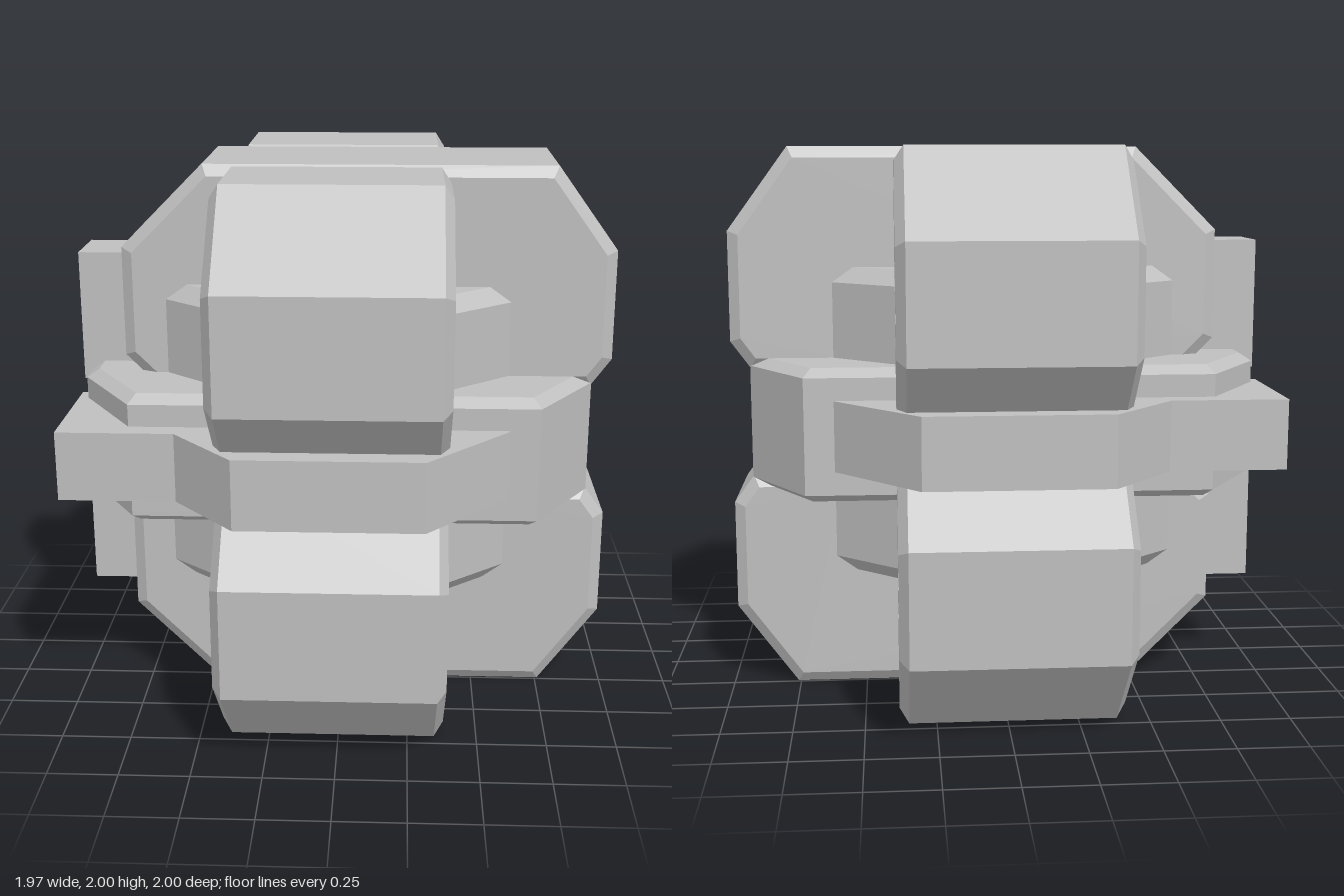
import * as THREE from 'three';

const grey = new THREE.MeshStandardMaterial({ color: 0xbfbfbf });
grey.name = 'plain grey';

const area = (p) => THREE.ShapeUtils.area(p.map(([u, v]) => new THREE.Vector2(u, v)));

// Shrinks a counter-clockwise outline by d, with mitred corners.
function inset(poly, d) {
  const n = poly.length;
  const normal = (a, b) => {
    const l = Math.hypot(b[0] - a[0], b[1] - a[1]);
    return [-(b[1] - a[1]) / l, (b[0] - a[0]) / l];
  };
  return poly.map((p, i) => {
    const a = normal(poly[(i + n - 1) % n], p);
    const b = normal(p, poly[(i + 1) % n]);
    const k = d / (1 + a[0] * b[0] + a[1] * b[1]);
    return [p[0] + (a[0] + b[0]) * k, p[1] + (a[1] + b[1]) * k];
  });
}

// Outline coordinates per axis: x -> [y, z], y -> [z, x], z -> [x, y].
const place = {
  x: (u, v, w) => [w, u, v],
  y: (u, v, w) => [v, w, u],
  z: (u, v, w) => [u, v, w],
};

// Faceted prism along an axis; levels are [position, inset]. "inward" makes a pocket.
function prism(axis, outline, levels, { holes = [], caps = [true, true], inward = false } = {}) {
  const base = area(outline) < 0 ? [...outline].reverse() : outline;
  const rings = levels.map(([w, d]) => inset(base, d).map(([u, v]) => [u, v, w]));
  const pos = [];
  const tri = (a, b, c) => {
    for (const p of inward ? [a, c, b] : [a, b, c]) pos.push(...place[axis](...p));
  };
  for (let k = 0; k + 1 < rings.length; k++) {
    const lo = rings[k], hi = rings[k + 1];
    lo.forEach((a, i) => {
      const j = (i + 1) % lo.length;
      tri(a, lo[j], hi[j]);
      tri(a, hi[j], hi[i]);
    });
  }
  const cap = (ring, up) => {
    const w = ring[0][2];
    const vec = (list) => list.map(([u, v]) => new THREE.Vector2(u, v));
    const faces = THREE.ShapeUtils.triangulateShape(vec(ring), holes.map(vec));
    const pts = [...ring, ...holes.flat().map(([u, v]) => [u, v, w])];
    for (const f of faces) {
      const t = f.map((i) => pts[i]);
      if ((area(t) > 0) !== up) t.reverse();
      tri(...t);
    }
  };
  if (caps[0]) cap(rings[0], false);
  if (caps[1]) cap(rings[rings.length - 1], true);
  const g = new THREE.BufferGeometry();
  g.setAttribute('position', new THREE.Float32BufferAttribute(pos, 3));
  g.computeVertexNormals();
  return g;
}

function rect(u0, u1, v0, v1) {
  return [[u0, v0], [u1, v0], [u1, v1], [u0, v1]];
}

function roundedRect(cu, cv, hu, hv, r) {
  const pts = [];
  [[1, 1], [-1, 1], [-1, -1], [1, -1]].forEach(([su, sv], q) => {
    for (let i = 0; i <= 4; i++) {
      const a = (q + i / 4) * Math.PI / 2;
      pts.push([cu + su * (hu - r) + r * Math.cos(a), cv + sv * (hv - r) + r * Math.sin(a)]);
    }
  });
  return pts;
}

export function createModel() {
  const model = new THREE.Group();
  model.name = 'interlockingBlocks';
  const add = (parent, name, geometry) => {
    const m = new THREE.Mesh(geometry, grey);
    m.name = name;
    parent.add(m);
  };

  // Four octagonal lobes, front and back, with a rounded slot in each end
  for (const top of [true, false]) {
    for (const s of [1, -1]) {
      const lobe = new THREE.Group();
      lobe.name = (top ? 'upper' : 'lower') + (s > 0 ? 'Front' : 'Back') + 'Lobe';
      const cy = top ? 1.5 : 0.5;
      const outline = [[0.5, 0.2], [0.2, 0.5], [-0.2, 0.5], [-0.5, 0.2],
        [-0.5, -0.2], [-0.2, -0.5], [0.2, -0.5], [0.5, -0.2]].map(([y, z]) => [cy + y, s * 0.5 + z]);
      const slot = roundedRect(cy - 0.01, s * 0.665, 0.085, 0.165, 0.05);
      add(lobe, 'body', prism('x', outline,
        [[-0.42, 0.05], [-0.387, 0], [0.347, 0], [0.38, 0.05]], { holes: [slot] }));
      add(lobe, 'leftSlot', prism('x', slot, [[0.18, 0], [0.38, 0]], { caps: [true, false], inward: true }));
      add(lobe, 'rightSlot', prism('x', slot, [[-0.42, 0], [-0.22, 0]], { caps: [false, true], inward: true }));
      model.add(lobe);
    }
  }

  // Upper and lower centre slabs, cut back around the side opening
  const slab = [[-0.8, 1.3], [-0.5, 1], [0.62, 1], [0.62, 1.2], [0.907, 1.2],
    [0.98, 1.3], [0.98, 1.7], [0.76, 2], [-0.5, 2], [-0.8, 1.7]];
  const slabLevels = [[-0.268, 0.04], [-0.24, 0], [0.24, 0], [0.268, 0.04]];
  add(model, 'upperSlab', prism('z', slab, slabLevels));
  add(model, 'lowerSlab', prism('z', slab.map(([x, y]) => [x, 2 - y]), slabLevels));

  // Bevelled inner core
  const core = [[0.26, 0.615], [0.48, 0.36], [0.48, -0.39], [0.26, -0.65],
    [-0.26, -0.65], [-0.48, -0.39], [-0.48, 0.36], [-0.26, 0.615]];
  add(model, 'core', prism('y', core, [[0.44, 0.05], [0.495, 0], [1.515, 0], [1.57, 0.05]]));

  // Middle block: notched layer between two bevelled plates
  const block = [[0.24, 0.91], [0.575, 0.7], [0.575, -0.74], [0.24, -0.95],
    [-0.24, -0.95], [-0.575, -0.74], [-0.575, 0.7], [-0.24, 0.91]];
  const notch = [[-0.218, 0.91], [-0.218, 0.63], [0.218, 0.63], [0.218, 0.91]];
  add(model, 'middleBlock', prism('y', [...block, ...notch], [[0.815, 0], [1.193, 0]]));
  add(model, 'middleBlockTop', prism('y', block, [[1.193, 0], [1.21, 0], [1.24, 0.045]]));
  add(model, 'middleBlockBottom', prism('y', block, [[0.765, 0.045], [0.795, 0], [0.815, 0]]));

  // Belt running round between the lobes
  const belt = [[0.91, 0.3], [0.58, 0.595], [-0.58, 0.595], [-0.91, 0.3],
    [-0.91, -0.345], [-0.65, -0.57], [0.65, -0.57], [0.91, -0.345]];
  add(model, 'belt', prism('y', belt, [[0.88, 0], [1.13, 0]]));

  // Four socket arms in a cross on one side
  const arms = {
    upperArm: [1.17, 1.655, -0.12, 0.12],
    lowerArm: [0.35, 0.835, -0.12, 0.12],
    frontArm: [0.88, 1.13, 0.17, 0.65],
    backArm: [0.88, 1.13, -0.65, -0.17],
  };
  for (const [name, r] of Object.entries(arms)) {
    const arm = new THREE.Group();
    arm.name = name;
    const outer = rect(...r);
    const hole = inset(outer, 0.05);
    add(arm, 'body', prism('x', outer, [[-0.985, 0], [-0.55, 0]], { holes: [hole], caps: [true, false] }));
    add(arm, 'socket', prism('x', hole, [[-0.985, 0], [-0.88, 0]], { caps: [false, true], inward: true }));
    model.add(arm);
  }
  return model;
}
